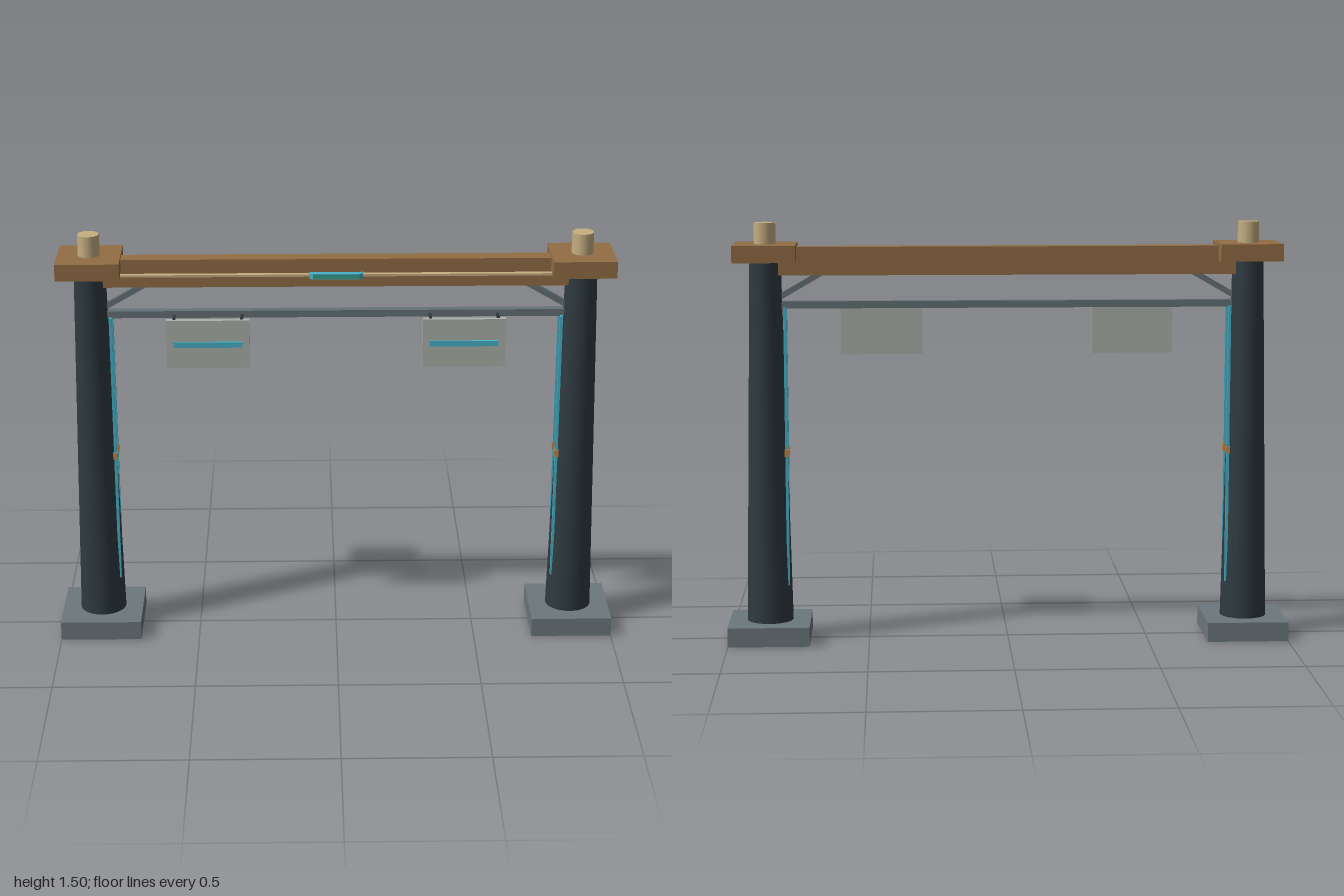
import * as THREE from 'three';

export function createModel() {
  const model = new THREE.Group();
  model.name = 'gateway';

  const paint = (name, color) => {
    const m = new THREE.MeshStandardMaterial({ color });
    m.name = name;
    return m;
  };
  const stone = paint('grey stone', 0x6c787c);
  const steel = paint('grey steel', 0x667277);
  const dark = paint('dark slate', 0x2e3a40);
  const wood = paint('brown wood', 0x926d44);
  const tan = paint('pale wood', 0xc6af82);
  const panel = paint('pale grey panel', 0xaab1aa);
  const cyan = paint('cyan', 0x48b2c8);
  const green = paint('teal green', 0x38a08c);
  const copper = paint('copper', 0xc08648);

  const add = (parent, name, geometry, material, x, y, z) => {
    const mesh = new THREE.Mesh(geometry, material);
    mesh.name = name;
    mesh.position.set(x, y, z);
    parent.add(mesh);
    return mesh;
  };
  const box = (parent, name, material, w, h, d, x, y, z) =>
    add(parent, name, new THREE.BoxGeometry(w, h, d), material, x, y, z);

  for (const side of [-1, 1]) {
    // Tapered post on a plinth, with a cap and a peg
    const post = new THREE.Group();
    post.name = side > 0 ? 'leftPost' : 'rightPost';
    model.add(post);
    const px = side * 0.855;
    box(post, 'plinth', stone, 0.29, 0.069, 0.29, px, 0.0355, 0);
    add(post, 'column', new THREE.CylinderGeometry(0.055, 0.084, 1.37, 24), dark, px, 0.685, 0);
    box(post, 'cap', wood, 0.22, 0.06, 0.22, px, 1.39, 0);
    add(post, 'peg', new THREE.CylinderGeometry(0.038, 0.038, 0.08, 12), tan, px, 1.455, 0);

    // Diagonal brace between column and beam
    const brace = box(post, 'brace', steel, 0.18, 0.02, 0.02, side * 0.735, 1.273, 0);
    brace.rotation.z = -side * Math.atan2(0.075, 0.13);

    // Light strips with clips on the inner face of the column
    for (const z of [-0.036, 0.036]) {
      box(post, 'lightStrip', cyan, 0.01, 1.0, 0.012, side * 0.787, 0.7, z);
      box(post, 'stripClip', copper, 0.016, 0.026, 0.018, side * 0.787, 0.68, z);
    }

    // Hanging sign
    const sign = new THREE.Group();
    sign.name = side > 0 ? 'leftSign' : 'rightSign';
    model.add(sign);
    const sx = side * 0.447;
    box(sign, 'signPanel', panel, 0.29, 0.175, 0.02, sx, 1.11, 0.051);
    box(sign, 'signStripe', cyan, 0.24, 0.02, 0.007, sx, 1.11, 0.0645);
    for (const dx of [-0.118, 0.118]) {
      box(sign, 'hanger', dark, 0.01, 0.012, 0.045, sx + dx, 1.199, 0.0275);
    }
  }

  // Cross beam, lower rail and slim ledge
  box(model, 'beam', wood, 1.66, 0.1, 0.06, 0, 1.36, 0);
  box(model, 'rail', steel, 1.6, 0.025, 0.03, 0, 1.205, 0);
  box(model, 'ledge', tan, 1.62, 0.008, 0.018, 0, 1.361, 0.053);

  // Centre lamp with chamfered front corners
  const outline = new THREE.Shape();
  outline.moveTo(-0.092, -0.05);
  outline.lineTo(-0.092, -0.066);
  outline.lineTo(-0.08, -0.074);
  outline.lineTo(0.08, -0.074);
  outline.lineTo(0.092, -0.066);
  outline.lineTo(0.092, -0.05);
  const lampBody = new THREE.ExtrudeGeometry(outline, { depth: 0.02, bevelEnabled: false });
  lampBody.rotateX(-Math.PI / 2);
  add(model, 'lamp', lampBody, cyan, 0, 1.35, 0);
  box(model, 'lampFace', green, 0.16, 0.014, 0.003, 0, 1.36, 0.0745);

  return model;
}
